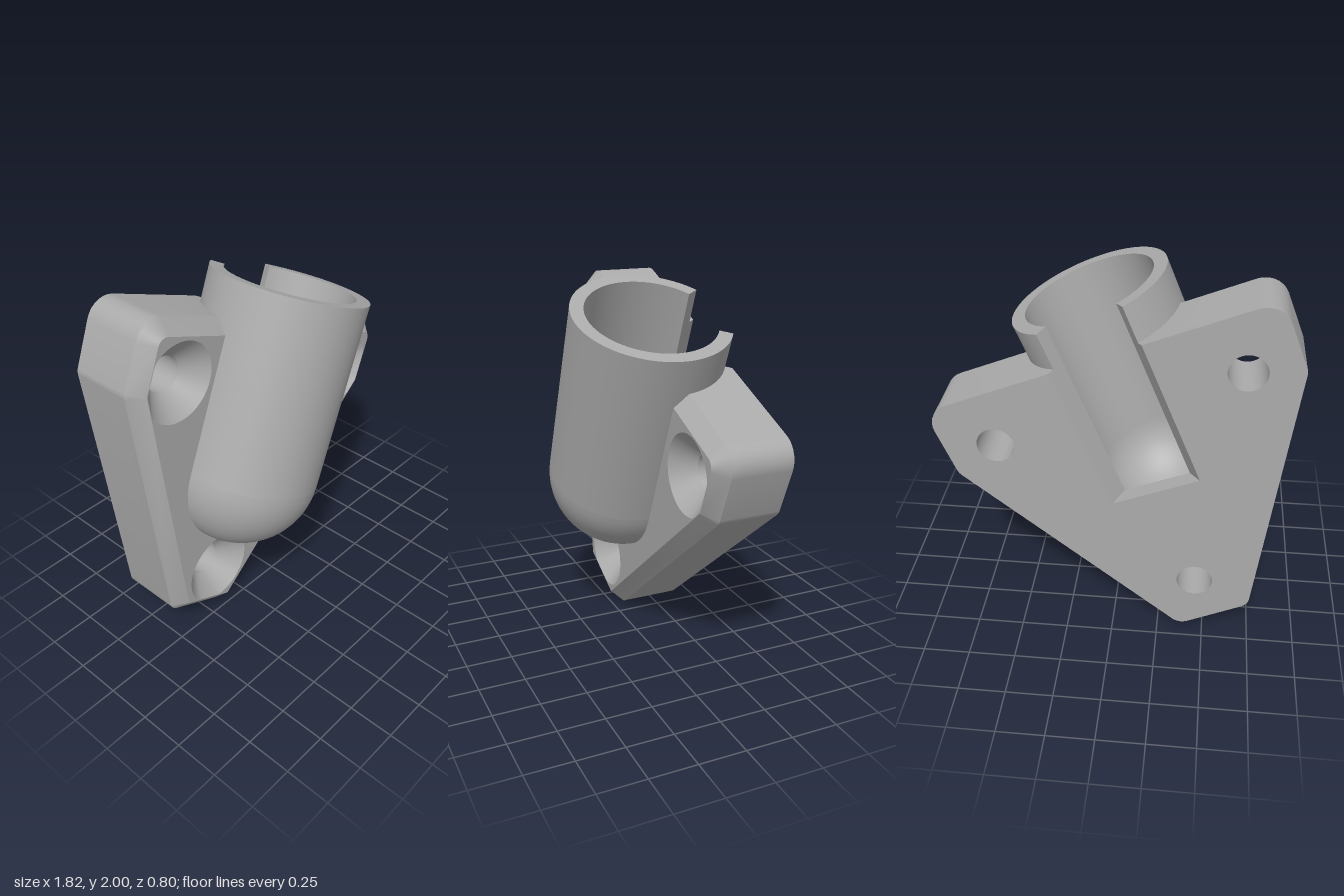
import * as THREE from 'three';
import { toCreasedNormals } from 'three/addons/utils/BufferGeometryUtils.js';

// Local frame: y runs along the tilted socket axis, origin at the centre of its round end
const TILT = 0.3835, CX = -0.223, CY = 0.905;
const BACK = -0.402, TOP = 0.817, CHAMFER = 0.072;
const OUTER = 0.417, INNER = 0.345, MID = 0.38, TUBE_Z = -0.015, TUBE_TOP = 1.014;
const SLOT = 0.553; // half angle of the rear slot
const HOLE_R = 0.097, SINK_R = 0.21;

const toLocal = (x, y) => {
  const dx = x - CX, dy = y - CY, c = Math.cos(TILT), s = Math.sin(TILT);
  return new THREE.Vector2(dx * c - dy * s, dx * s + dy * c);
};

// Skin a list of rings that have equal point counts
function loft(rings) {
  const pos = [];
  for (let i = 0; i < rings.length - 1; i++) {
    const a = rings[i], b = rings[i + 1];
    for (let j = 0; j < a.length - 1; j++) {
      pos.push(...a[j], ...b[j], ...b[j + 1], ...a[j], ...b[j + 1], ...a[j + 1]);
    }
  }
  const g = new THREE.BufferGeometry();
  g.setAttribute('position', new THREE.Float32BufferAttribute(pos, 3));
  g.computeVertexNormals();
  return toCreasedNormals(g, 0.5);
}

// Plate corners, counter-clockwise from top right: x, y, rounding radius
const corners = [
  [0.944, 1.31, 0.12], [-0.77, 2.01, 0.12], [-0.913, 1.655, 0.075],
  [-0.746, 0.167, 0.075], [-0.373, -0.012, 0.08], [0.802, 0.952, 0.08],
].map(([x, y, r]) => ({ p: toLocal(x, y), r }));
corners[0].p.y = corners[1].p.y = TOP;
corners.forEach((c, i) => {
  const next = corners[(i + 1) % corners.length].p;
  const d = next.clone().sub(c.p).normalize();
  c.n = new THREE.Vector2(d.y, -d.x); // outward normal of the edge leaving this corner
});

// Rounded outline, starting and ending at the notch in the top edge
function outline(inset, notch) {
  const pts = [[-notch, TOP - inset]];
  for (let k = 1; k <= corners.length; k++) {
    const c = corners[k % corners.length], n0 = corners[k - 1].n, n1 = c.n;
    const centre = c.p.clone().addScaledVector(n0.clone().add(n1), -c.r / (1 + n0.dot(n1)));
    const a0 = Math.atan2(n0.y, n0.x);
    const turn = Math.acos(n0.dot(n1));
    for (let j = 0; j <= 7; j++) {
      const a = a0 + turn * j / 7;
      pts.push([centre.x + (c.r - inset) * Math.cos(a), centre.y + (c.r - inset) * Math.sin(a)]);
    }
  }
  pts.push([notch, TOP - inset]);
  return pts;
}

// Circle round a screw hole, kept inside the flat front face
function circle(h, radius) {
  const pts = [];
  for (let i = 0; i <= 48; i++) {
    const a = -i / 48 * Math.PI * 2, dx = Math.cos(a), dy = Math.sin(a);
    let r = radius;
    for (const { p, n } of corners) {
      const away = dx * n.x + dy * n.y;
      const room = (p.x - h.x) * n.x + (p.y - h.y) * n.y - CHAMFER - 0.004;
      if (away > 0) r = Math.min(r, room / away);
    }
    pts.push([h.x + r * dx, h.y + r * dy]);
  }
  return pts;
}

const vecs = pts => pts.map(([x, y]) => new THREE.Vector2(x, y));
const atZ = (pts, z) => pts.map(([x, y]) => [x, y, z]);

function plateFace(pts, holes, radius) {
  const shape = new THREE.Shape(vecs(pts));
  shape.holes = holes.map(h => new THREE.Path(vecs(circle(h, radius).slice(0, -1))));
  return new THREE.ShapeGeometry(shape);
}

// Lower half sphere, flattened where it meets the plate
function roundEnd(radius, flatZ) {
  const g = new THREE.SphereGeometry(radius, 64, 20, 0, Math.PI * 2, Math.PI / 2, Math.PI / 2);
  const p = g.attributes.position;
  for (let i = 0; i < p.count; i++) p.setZ(i, Math.max(p.getZ(i), flatZ));
  g.computeVertexNormals();
  return g.translate(0, 0, TUBE_Z);
}

export function createModel() {
  const grey = new THREE.MeshStandardMaterial({ color: 0xaaaaaa, side: THREE.DoubleSide });
  grey.name = 'grey';
  const bracket = new THREE.Group();
  bracket.name = 'bracket';
  const add = (name, geometry) => {
    const mesh = new THREE.Mesh(geometry, grey);
    mesh.name = name;
    bracket.add(mesh);
    return mesh;
  };
  const holes = [[-0.64, 1.63], [0.595, 1.14], [-0.445, 0.32]].map(([x, y]) => toLocal(x, y));

  // Plate rim: chamfer and side walls, interrupted where the socket passes
  const notchAt = z => {
    const d = Math.abs(z - TUBE_Z);
    return Math.max(Math.sqrt(Math.max(0, MID * MID - d * d)), z < -0.2 ? d * Math.tan(SLOT) : 0);
  };
  const levels = [0, -CHAMFER, -0.15, -0.22, -0.28, -0.33, -0.36, BACK];
  add('plateRim', loft(levels.map((z, i) => atZ(outline(i ? 0 : CHAMFER, notchAt(z)), z))));

  // Plate front, cut away in a U inside the socket wall
  const front = outline(CHAMFER, MID);
  for (let i = 0; i <= 24; i++) {
    const a = -i / 24 * Math.PI;
    front.push([MID * Math.cos(a), MID * Math.sin(a)]);
  }
  add('plateFront', plateFace(front, holes, SINK_R));

  // Plate back, with the slot notch
  const slotW = notchAt(BACK);
  const back = [...outline(0, slotW), [slotW, 0], [-slotW, 0]];
  const backFace = plateFace(back, holes, HOLE_R).rotateY(Math.PI);
  backFace.scale(-1, 1, 1).translate(0, 0, BACK);
  const index = backFace.index.array;
  for (let i = 0; i < index.length; i += 3) [index[i], index[i + 1]] = [index[i + 1], index[i]];
  backFace.computeVertexNormals();
  add('plateBack', backFace);

  // Countersunk screw holes
  for (const h of holes) {
    add('screwHole', loft([
      atZ(circle(h, SINK_R), 0),
      atZ(circle(h, HOLE_R), HOLE_R - SINK_R),
      atZ(circle(h, HOLE_R), BACK),
    ]));
  }

  // Socket tube, open along the back
  const ring = new THREE.Shape();
  const start = Math.PI / 2 + SLOT, end = Math.PI * 2.5 - SLOT;
  ring.absarc(0, 0, OUTER, start, end, false);
  ring.absarc(0, 0, INNER, end, start, true);
  const tube = new THREE.ExtrudeGeometry(ring, { depth: TUBE_TOP, bevelEnabled: false, curveSegments: 64 });
  add('socketTube', toCreasedNormals(tube.rotateX(-Math.PI / 2).translate(0, 0, TUBE_Z), 0.5));
  add('socketEnd', roundEnd(OUTER, -0.36));
  add('socketBowl', roundEnd(INNER, -0.295));

  // Slot cheeks and floor through the plate
  const rim = [INNER * Math.sin(SLOT), TUBE_Z - INNER * Math.cos(SLOT)];
  for (const s of [-1, 1]) {
    const x0 = s * OUTER * Math.sin(SLOT), z0 = TUBE_Z - OUTER * Math.cos(SLOT), x1 = s * slotW;
    const rows = [[[x0, 0, z0], [x0, TOP, z0]], [[x1, 0, BACK], [x1, TOP, BACK]]];
    add('slotCheek', loft(s < 0 ? rows.reverse() : rows));
  }
  add('slotFloor', loft([
    [[-rim[0], 0, rim[1]], [rim[0], 0, rim[1]]],
    [[-slotW, 0, BACK], [slotW, 0, BACK]],
  ].reverse()));

  bracket.rotation.z = -TILT;
  bracket.position.set(CX, CY, 0);
  const model = new THREE.Group();
  model.name = 'wallSocket';
  model.add(bracket);
  return model;
}
